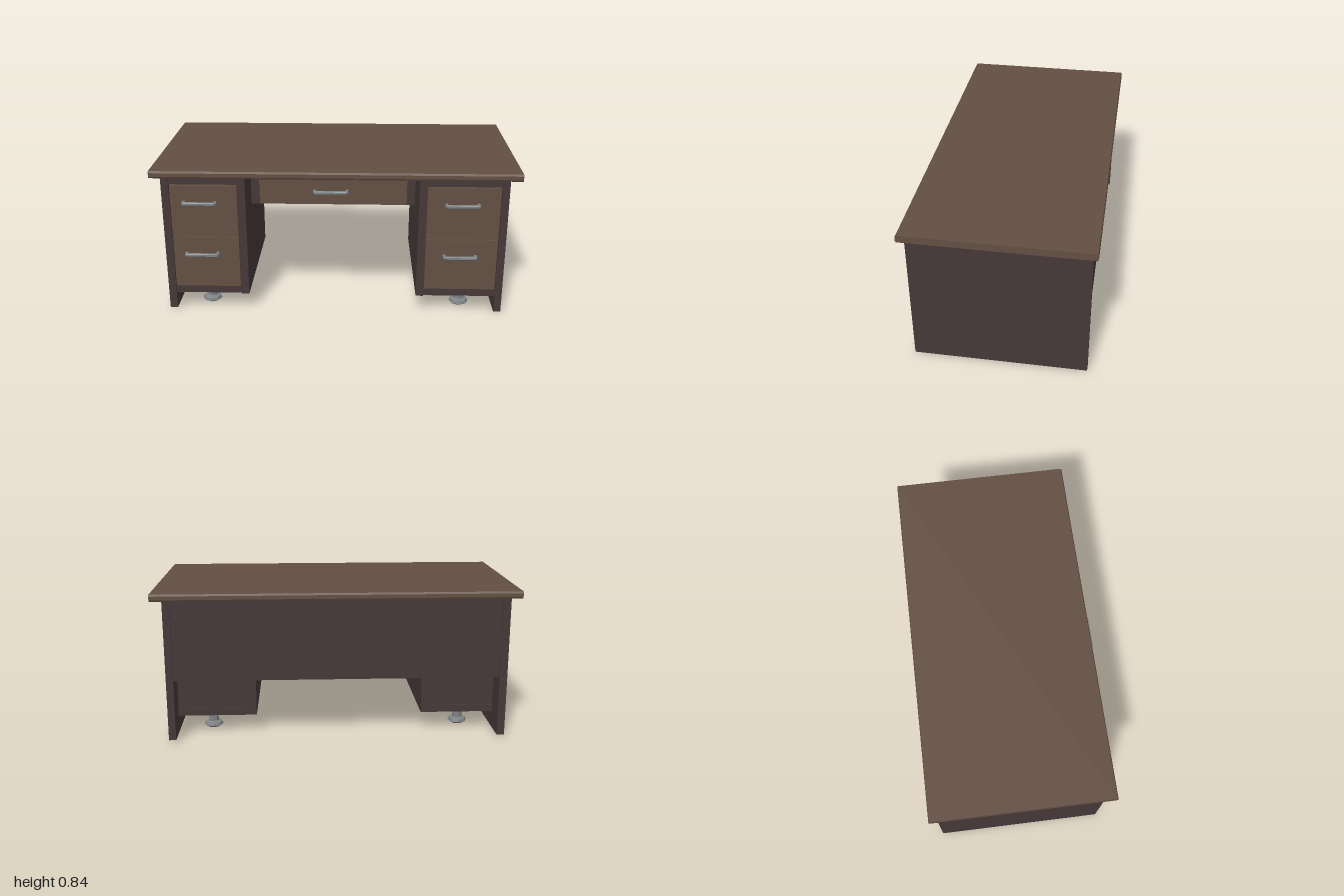
import * as THREE from 'three';

const wood = new THREE.MeshStandardMaterial({ color: 0x634f43 });
wood.name = 'brown wood';
const dark = new THREE.MeshStandardMaterial({ color: 0x463839 });
dark.name = 'dark panel';
const metal = new THREE.MeshStandardMaterial({ color: 0x7d8284 });
metal.name = 'grey metal';

// Box given by its limits on each axis
function block(parent, name, mat, [x0, x1], [y0, y1], [z0, z1]) {
  const mesh = new THREE.Mesh(new THREE.BoxGeometry(x1 - x0, y1 - y0, z1 - z0), mat);
  mesh.position.set((x0 + x1) / 2, (y0 + y1) / 2, (z0 + z1) / 2);
  mesh.name = name;
  parent.add(mesh);
  return mesh;
}

// Slab with chamfered front and back edges, extruded along x
function tableTop() {
  const c = 0.01;
  const [z0, z1, y0, y1] = [-0.505, 0.485, 0.8, 0.84];
  const shape = new THREE.Shape([
    [-z1, y0 + c], [-z1 + c / 2, y0], [-z0 - c / 2, y0], [-z0, y0 + c],
    [-z0, y1 - c], [-z0 - c / 2, y1], [-z1 + c / 2, y1], [-z1, y1 - c],
  ].map(([u, v]) => new THREE.Vector2(u, v)));
  const geo = new THREE.ExtrudeGeometry(shape, { depth: 2, bevelEnabled: false });
  geo.rotateY(Math.PI / 2).translate(-1, 0, 0);
  const mesh = new THREE.Mesh(geo, wood);
  mesh.name = 'tableTop';
  return mesh;
}

// Pull handle: a shallow bracket in plan, with legs splayed to the ends
function handle(x, y, z) {
  const shape = new THREE.Shape([
    [-0.095, 0], [-0.095, 0.03], [-0.085, 0.042], [0.085, 0.042], [0.095, 0.03], [0.095, 0],
    [0.078, 0], [0.078, 0.024], [-0.078, 0.024], [-0.078, 0],
  ].map(([u, v]) => new THREE.Vector2(u, v)));
  const geo = new THREE.ExtrudeGeometry(shape, {
    depth: 0.01, bevelEnabled: true, bevelThickness: 0.004, bevelSize: 0.003, bevelOffset: -0.003, bevelSegments: 1,
  });
  geo.translate(0, 0, -0.005).rotateX(Math.PI / 2);
  const mesh = new THREE.Mesh(geo, metal);
  mesh.position.set(x, y, z);
  mesh.name = 'handle';
  return mesh;
}

// Levelling foot: collar, stem and wide pad
function foot(x, z) {
  const profile = [
    [0, 0], [0.035, 0], [0.055, 0.013], [0.05, 0.028], [0.028, 0.036],
    [0.026, 0.088], [0.045, 0.094], [0.045, 0.106],
  ].map(([r, y]) => new THREE.Vector2(r, y));
  const geo = new THREE.LatheGeometry(profile, 8).toNonIndexed();
  geo.computeVertexNormals();
  const mesh = new THREE.Mesh(geo, metal);
  mesh.position.set(x, 0, z);
  mesh.name = 'foot';
  return mesh;
}

// Drawer pedestal between an outer side panel and an inner panel
function pedestal(name, outer, inner, drawer, handleX, footX) {
  const g = new THREE.Group();
  g.name = name;
  const back = -0.345;
  block(g, 'sidePanel', dark, outer, [0.01, 0.8], [-0.478, 0.46]);
  block(g, 'innerPanel', dark, inner, [0.105, 0.8], [back, 0.46]);
  block(g, 'carcass', dark, drawer, [0.11, 0.8], [back + 0.012, 0.435]);
  block(g, 'bottomRail', dark, drawer, [0.105, 0.148], [0.42, 0.452]);
  block(g, 'topRail', dark, drawer, [0.757, 0.8], [0.42, 0.452]);
  block(g, 'backRail', dark, drawer, [0.105, 0.145], [back, back + 0.02]);
  for (const y of [0.15, 0.453]) {
    block(g, 'drawerFront', wood, [drawer[0] + 0.003, drawer[1] - 0.003], [y, y + 0.298], [0.42, 0.458]);
    g.add(handle(handleX, y + 0.204, 0.456));
  }
  for (const z of [0.33, -0.225]) g.add(foot(footX, z));
  return g;
}

export function createModel() {
  const desk = new THREE.Group();
  desk.name = 'desk';
  desk.add(tableTop());

  // Pedestals
  desk.add(pedestal('leftPedestal', [0.898, 0.938], [0.455, 0.497], [0.497, 0.898], 0.69, 0.712));
  desk.add(pedestal('rightPedestal', [-0.944, -0.902], [-0.53, -0.487], [-0.902, -0.53], -0.738, -0.722));

  // Modesty panel across the back
  block(desk, 'modestyPanel', dark, [-0.902, 0.898], [0.35, 0.8], [-0.47, -0.435]);

  // Centre drawer hung between two runners
  const centre = new THREE.Group();
  centre.name = 'centreDrawer';
  block(centre, 'drawerFront', wood, [-0.407, 0.387], [0.655, 0.799], [0.425, 0.463]);
  block(centre, 'drawerTray', dark, [-0.405, 0.385], [0.69, 0.799], [-0.3, 0.425]);
  block(centre, 'runner', dark, [-0.455, -0.411], [0.645, 0.8], [-0.345, 0.44]);
  block(centre, 'runner', dark, [0.388, 0.433], [0.645, 0.8], [-0.345, 0.44]);
  centre.add(handle(-0.022, 0.732, 0.463));
  desk.add(centre);

  return desk;
}
